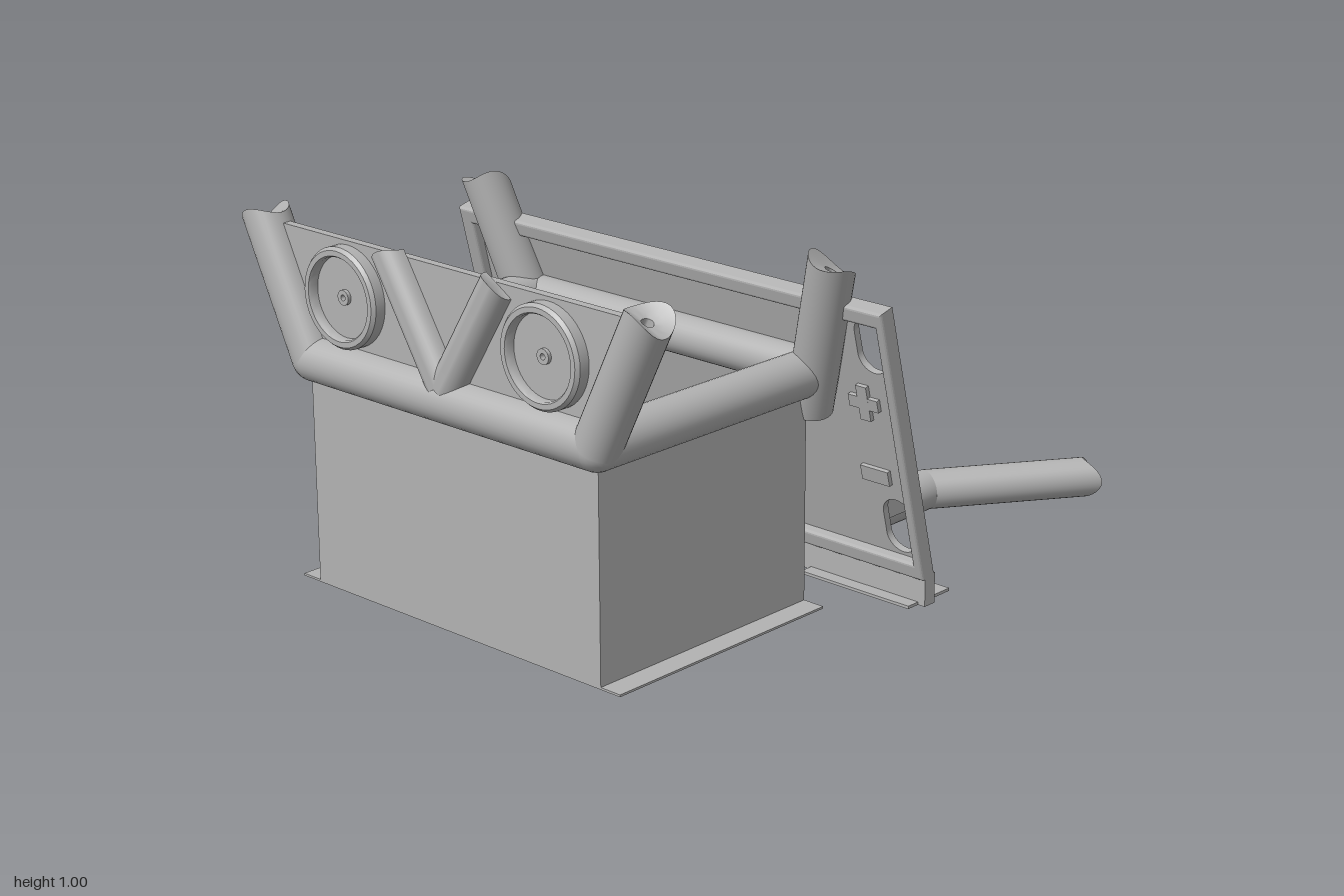
import * as THREE from 'three';
import { toCreasedNormals } from 'three/addons/utils/BufferGeometryUtils.js';

const V = (x, y, z) => new THREE.Vector3(x, y, z);

export function createModel() {
  const model = new THREE.Group();
  const grey = new THREE.MeshStandardMaterial({ color: 0xb2b2b2, side: THREE.DoubleSide });
  grey.name = 'plain grey';

  const add = (parent, name, geo, pos = [0, 0, 0]) => {
    const m = new THREE.Mesh(geo, grey);
    m.name = name;
    m.position.set(...pos);
    parent.add(m);
    return m;
  };
  const box = (parent, name, size, pos) => add(parent, name, new THREE.BoxGeometry(...size), pos);

  // Round bar from a to b; "across" turns the far end into a saddle with a small bore
  const bar = (parent, name, a, b, r, { across, depth = 0.035, tilt = 0, half = false } = {}) => {
    const d = b.clone().sub(a), L = d.length();
    const q = new THREE.Quaternion().setFromUnitVectors(V(0, 1, 0), d.normalize());
    const inv = q.clone().invert();
    const pts = [[r, 0], [r, L], [r * 0.6, L]];
    if (half || !across) pts.push([0, L]);
    else pts.push([0.016, L], [0.016, L - 0.08], [0, L - 0.08]);
    let geo = new THREE.LatheGeometry(pts.map(p => new THREE.Vector2(...p)), half ? 16 : 32,
      half ? -Math.PI / 2 : 0, half ? Math.PI : Math.PI * 2);
    if (across) {
      const u = across.clone().applyQuaternion(inv), f = V(0, 0, 1).applyQuaternion(inv);
      const p = geo.attributes.position, v = V(0, 0, 0);
      for (let i = 0; i < p.count; i++) {
        v.fromBufferAttribute(p, i);
        if (v.y < L - 0.001) continue;
        const k = (v.x * u.x + v.z * u.z) / r;
        p.setY(i, v.y - depth * (1 - k * k) + tilt * (v.x * f.x + v.z * f.z));
      }
    }
    geo = toCreasedNormals(geo, 0.6);
    const m = add(parent, name, geo, a.toArray());
    m.quaternion.copy(q);
    return m;
  };
  const polygon = pts => new THREE.Shape(pts.map(p => new THREE.Vector2(...p)));
  const slab = (shape, depth) =>
    new THREE.ExtrudeGeometry(shape, { depth, bevelEnabled: false, curveSegments: 20 });

  // Everything but the sloping board sits slightly off centre
  const body = new THREE.Group();
  body.name = 'body';
  body.position.x = -0.0125;
  model.add(body);

  // Open bin: front wall, side walls and base flanges
  box(body, 'binFront', [1.035, 0.58, 0.008], [0, 0.29, 0.941]);
  for (const s of [-1, 1]) {
    box(body, 'binSide', [0.008, 0.58, 0.755], [s * 0.5135, 0.29, 0.5675]);
    box(body, 'binFlange', [0.155, 0.006, 0.755], [s * 0.505, 0.003, 0.5675]);
  }

  // Tubular rim with four uprights
  const R = 0.0625, H = 0.6225, X = 0.5075, ZF = 0.9375, ZB = 0.15;
  bar(body, 'frontRail', V(-X, H, ZF), V(X, H, ZF), R);
  bar(body, 'backRail', V(-X, H, ZB), V(X, H, ZB), 0.055);
  for (const s of [-1, 1]) {
    bar(body, 'sideRail', V(s * X, H, ZB), V(s * X, H, ZF), R);
    add(body, 'frontJoint', new THREE.SphereGeometry(R, 24, 16), [s * X, H, ZF]);
    add(body, 'backJoint', new THREE.SphereGeometry(0.06, 24, 16), [s * X, H, ZB]);
    bar(body, 'frontUpright', V(s * X, H, ZF), V(s * 0.69, 0.995, ZF), R, { across: V(0, 0, 1) });
    bar(body, 'backUpright', V(s * 0.49, 0.52, 0.145), V(s * 0.625, 0.955, 0.22), R,
      { across: V(1, 0, 0), tilt: 0.55 });
  }

  // Front plate with two small bores
  const plate = polygon([[-0.5, 0.64], [0.5, 0.64], [0.635, 0.965], [-0.635, 0.965]]);
  for (const s of [-1, 1]) {
    plate.holes.push(new THREE.Path().absarc(s * 0.358, 0.82, 0.016, 0, Math.PI * 2, true));
  }
  add(body, 'frontPlate', slab(plate, 0.025), [0, 0, 0.92]);

  // Round recessed cups and the V brace between them
  const cup = toCreasedNormals(new THREE.LatheGeometry(
    [[0.134, 0], [0.134, 0.03], [0.126, 0.04], [0.112, 0.04], [0.108, 0.034], [0.108, 0.012],
      [0.02, 0.012], [0.02, 0.022], [0.008, 0.022], [0.008, 0]].map(p => new THREE.Vector2(...p)), 48), 0.6);
  for (const s of [-1, 1]) {
    add(body, 'roundCup', cup, [s * 0.358, 0.82, 0.945]).rotation.x = Math.PI / 2;
    bar(body, 'vBrace', V(s * 0.005, 0.66, 0.945), V(s * 0.2, 0.975, 0.945), 0.05,
      { across: V(0, 0, 1), depth: 0.02, half: true });
  }

  // Splayed rear legs with a wedge on top
  const wedge = polygon([[0.03, 0.05], [0.03, 0.09], [0.41, 0.19], [0.45, 0.11], [0.45, 0.05]]);
  for (const s of [-1, 1]) {
    const x = s * 0.318, r = 0.056, y = 0.057;
    bar(body, 'legInner', V(x, y, -0.02), V(x, y, -0.56), r);
    add(body, 'legElbow', new THREE.SphereGeometry(r, 24, 16), [x, y, -0.56]);
    bar(body, 'legOuter', V(x, y, -0.56), V(s * 0.605, y, -0.972), r,
      { across: V(0.82, 0, s * 0.57), depth: 0.04 });
    add(body, 'legWedge', slab(wedge, 0.116), [x - 0.058, 0, 0]).rotation.y = Math.PI / 2;
    body.children[body.children.length - 1].position.x = x - 0.058;
  }

  // Sloping board: thin back, raised rounded rim, two slots and two raised signs
  const board = new THREE.Group();
  board.name = 'board';
  board.position.set(0, 0.08, -0.01);
  board.rotation.x = 0.245;
  model.add(board);
  const W = 0.757, BH = 0.785, T = 0.045;
  const back = polygon([[-W, 0], [W, 0], [W, BH], [-W, BH]]);
  for (const cy of [0.134, 0.667]) {
    const slot = new THREE.Path();
    slot.absarc(0.683, cy + 0.031, 0.048, 0, Math.PI, false);
    slot.absarc(0.683, cy - 0.031, 0.048, Math.PI, Math.PI * 2, false);
    slot.closePath();
    back.holes.push(slot);
  }
  add(board, 'boardBack', slab(back, 0.02), [0, 0, -0.02]);
  const rimParts = [
    ['boardTopRim', 2 * W, T, 0, BH - T / 2], ['boardBottomRim', 2 * W, T, 0, T / 2],
    ['boardSideRim', T, BH, -W + T / 2, BH / 2], ['boardSideRim', T, BH, W - T / 2, BH / 2],
  ];
  for (const [name, w, h, x, y] of rimParts) {
    // The right rim leaves the slots clear
    const narrow = x > 0 ? 0.026 : w;
    const bevel = 0.008;
    const shape = polygon([[-narrow / 2 + bevel, -h / 2 + bevel], [narrow / 2 - bevel, -h / 2 + bevel],
      [narrow / 2 - bevel, h / 2 - bevel], [-narrow / 2 + bevel, h / 2 - bevel]]);
    const geo = new THREE.ExtrudeGeometry(shape, { depth: 0.02, bevelEnabled: true,
      bevelSize: bevel, bevelThickness: bevel, bevelSegments: 3 });
    add(board, name, geo, [x > 0 ? W - 0.013 : x, y, 0]);
  }
  box(board, 'plusUpright', [0.034, 0.1, 0.012], [0.636, 0.495, 0.006]);
  box(board, 'plusCross', [0.095, 0.034, 0.0118], [0.636, 0.495, 0.006]);
  box(board, 'minusBar', [0.09, 0.042, 0.012], [0.636, 0.28, 0.006]);

  // Skirt and feet under the board
  box(model, 'boardSkirt', [2 * W, 0.085, 0.04], [0, 0.0425, -0.015]);
  for (const s of [-1, 1]) {
    box(model, 'boardFoot', [0.365, 0.008, 0.17], [s * 0.5525, 0.004, -0.04]);
  }
  return model;
}
